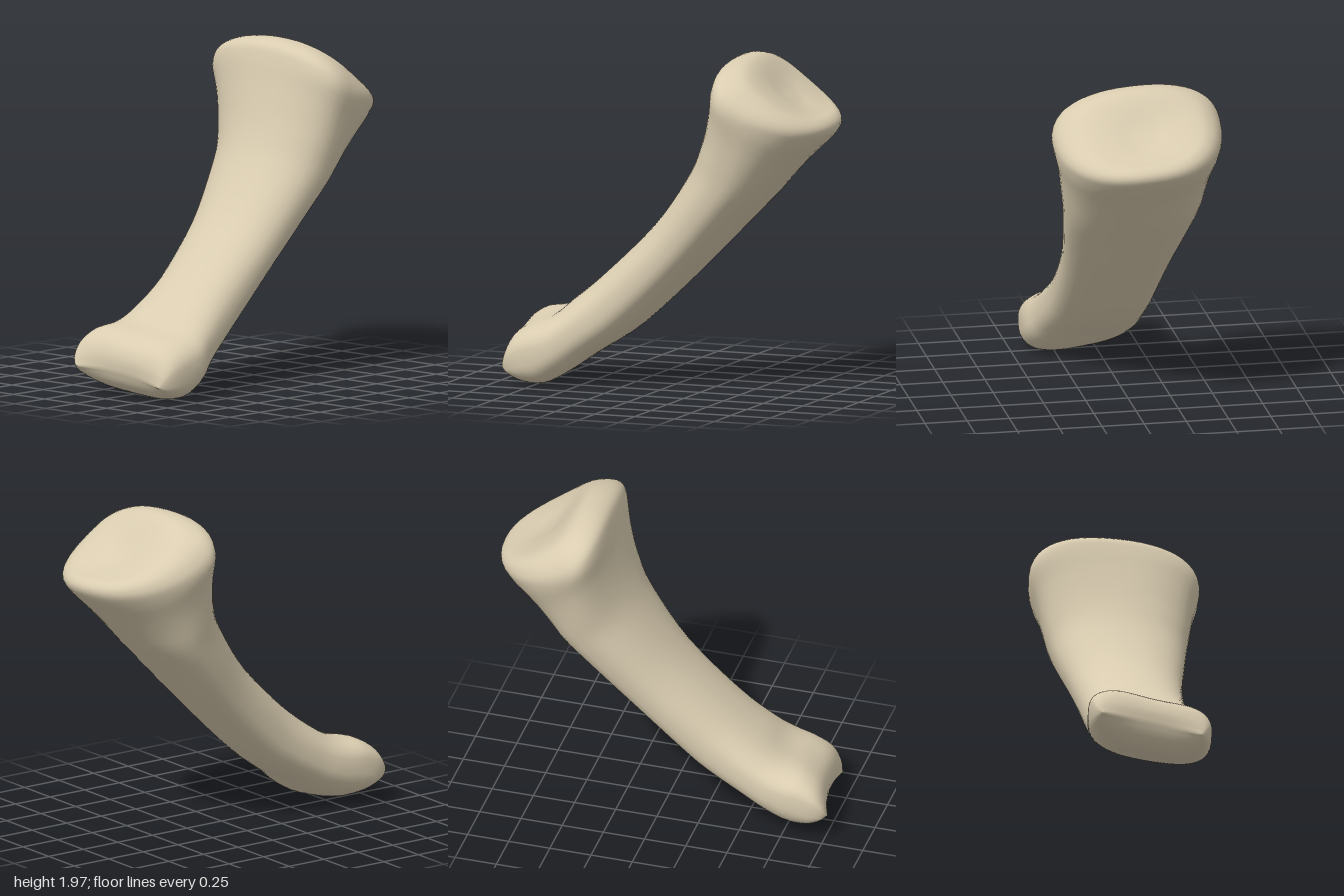
import * as THREE from 'three';
import { mergeVertices } from 'three/addons/utils/BufferGeometryUtils.js';

// Cross-sections from the distal roller to the proximal socket:
// [topZ, topY, bottomZ, bottomY, xMin, xMax]
const SECTIONS = [
  [0.95, 0.17, 0.95, 0.17, -0.21, 0.37],
  [0.955, 0.255, 0.915, 0.095, -0.25, 0.41],
  [0.92, 0.345, 0.84, 0.04, -0.275, 0.44],
  [0.83, 0.405, 0.73, 0.03, -0.28, 0.45],
  [0.70, 0.44, 0.61, 0.085, -0.27, 0.445],
  [0.58, 0.515, 0.47, 0.18, -0.255, 0.40],
  [0.37, 0.69, 0.21, 0.36, -0.25, 0.355],
  [0.08, 0.98, -0.15, 0.70, -0.29, 0.355],
  [-0.12, 1.26, -0.45, 1.01, -0.36, 0.395],
  [-0.22, 1.47, -0.63, 1.195, -0.405, 0.425],
  [-0.29, 1.71, -0.80, 1.37, -0.45, 0.46],
  [-0.325, 1.86, -0.96, 1.52, -0.50, 0.50],
  [-0.36, 1.95, -1.00, 1.59, -0.48, 0.48],
  [-0.45, 1.98, -0.97, 1.64, -0.42, 0.41],
  [-0.54, 1.95, -0.90, 1.665, -0.33, 0.32],
  [-0.66, 1.81, -0.79, 1.71, -0.12, 0.12],
  [-0.73, 1.75, -0.73, 1.75, 0, 0],
];
const STEPS = 4; // rings per section
const SIDES = 48;

const clamp01 = (v) => THREE.MathUtils.clamp(v, 0, 1);
const bump = (t, centre, width) => clamp01(1 - ((t - centre) / width) ** 2);
const power = (v, e) => Math.sign(v) * Math.pow(Math.abs(v), e);

// Smooth blend between neighbouring sections
function sectionAt(t) {
  const last = SECTIONS.length - 1;
  const i = Math.min(Math.floor(t), last - 1);
  const u = t - i;
  const at = (k) => SECTIONS[THREE.MathUtils.clamp(k, 0, last)];
  const [a, b, c, d] = [at(i - 1), at(i), at(i + 1), at(i + 2)];
  return b.map((p, k) => p + 0.5 * u * (c[k] - a[k]
    + u * (2 * a[k] - 5 * p + 4 * c[k] - d[k] + u * (3 * (p - c[k]) + d[k] - a[k]))));
}

// One ring of points: a rounded outline that is squarer at the roller
function ringPoints(t) {
  const [tz, ty, bz, by, x0, x1] = sectionAt(t);
  const squareness = 2.1 + 1.3 * clamp01(1 - t / 7) + 0.3 * bump(t, 12, 2.5);
  const flatUnder = 0.5 * clamp01((t - 4) / 3) * clamp01((11 - t) / 2);
  const roll = 0.04 * clamp01((6 - t) / 3) + 0.02 * bump(t, 12, 3); // sideways tilt
  const groove = 0.14 * bump(t, 2.5, 2.5); // hollow along the roller's middle
  const sag = 0.035 * clamp01(1 - t / 2.5) + 0.06 * bump(t, 11.7, 3); // saddle ends
  const widest = 0.45 + 0.1 * clamp01((6 - t) / 3) + 0.19 * clamp01((t - 8.5) / 2.5);
  const points = [];
  for (let j = 0; j < SIDES; j++) {
    const angle = (j / SIDES) * Math.PI * 2;
    const c = Math.cos(angle), s = Math.sin(angle);
    const n = s < 0 ? squareness + flatUnder : squareness;
    const side = power(c, 2 / n);
    const dip = groove * Math.max(0, Math.cos((side - 0.15) * 1.8)) ** 2;
    const h = power(s, 2 / n);
    const f = widest + (h > 0 ? h * (1 - dip) * (1 - widest) : h * widest);
    const bend = sag * side * side;
    points.push(
      (x0 + x1) / 2 + side * (x1 - x0) / 2,
      by + (ty - by) * f - roll * side - 0.6 * bend,
      bz + (tz - bz) * f - roll * side + bend,
    );
  }
  return points;
}

// Skin the rings; both ends close because their sections collapse
function boneGeometry() {
  const positions = [], index = [];
  const rings = (SECTIONS.length - 1) * STEPS + 1;
  for (let i = 0; i < rings; i++) positions.push(...ringPoints(i / STEPS));
  for (let i = 0; i < rings - 1; i++) {
    for (let j = 0; j < SIDES; j++) {
      const a = i * SIDES + j, b = i * SIDES + ((j + 1) % SIDES);
      index.push(a, a + SIDES, b, b, a + SIDES, b + SIDES);
    }
  }
  const geometry = new THREE.BufferGeometry();
  geometry.setAttribute('position', new THREE.Float32BufferAttribute(positions, 3));
  geometry.setIndex(index);
  const welded = mergeVertices(geometry);
  welded.computeVertexNormals();
  return welded;
}

export function createModel() {
  const ivory = new THREE.MeshStandardMaterial({ color: 0xd9ccb0 });
  ivory.name = 'bone ivory';
  const bone = new THREE.Mesh(boneGeometry(), ivory);
  bone.name = 'fingerBone';
  const model = new THREE.Group();
  model.name = 'bone';
  model.add(bone);
  return model;
}
